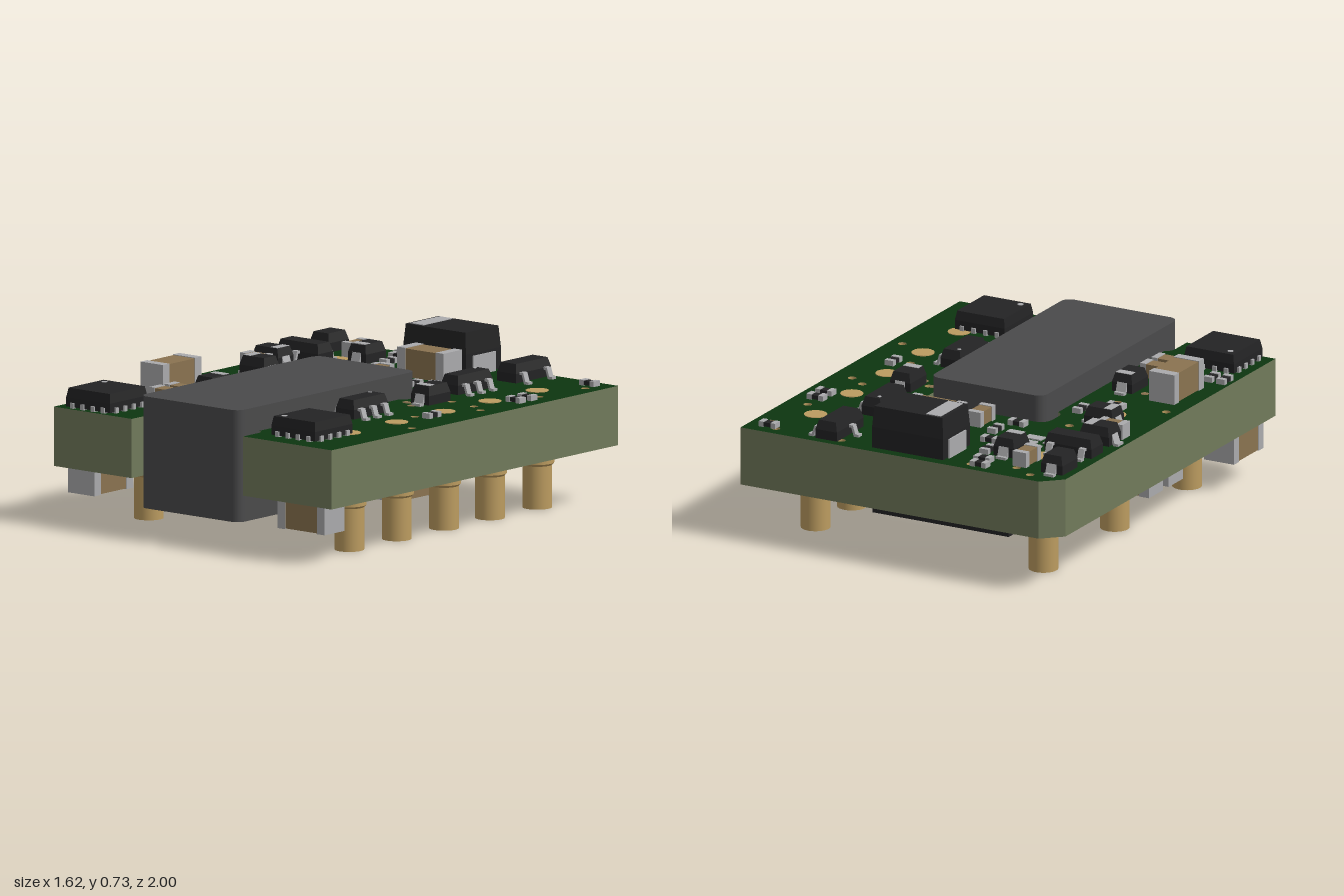
import * as THREE from 'three';

const mat = (name, color, side = THREE.FrontSide) => {
  const m = new THREE.MeshStandardMaterial({ color, side });
  m.name = name;
  return m;
};

export function createModel() {
  const M = {
    green: mat('solder mask green', 0x0d3510),
    olive: mat('laminate olive', 0x717a5b),
    grey: mat('core grey', 0x4a4a4b),
    black: mat('package black', 0x232324),
    metal: mat('terminal silver', 0xababad),
    brown: mat('ceramic brown', 0x8a7350),
    brass: mat('pin brass', 0xbc9c60, THREE.DoubleSide),
  };
  const root = new THREE.Group();
  const TOP = 0.53, BOT = 0.26;

  const group = (name) => {
    const g = new THREE.Group();
    g.name = name;
    root.add(g);
    return g;
  };
  const add = (parent, name, geo, m) => {
    const mesh = new THREE.Mesh(geo, m);
    mesh.name = name;
    parent.add(mesh);
    return mesh;
  };
  // box given by its limits
  const box = (parent, name, m, x0, x1, y0, y1, z0, z1) =>
    add(parent, name, new THREE.BoxGeometry(x1 - x0, y1 - y0, z1 - z0)
      .translate((x0 + x1) / 2, (y0 + y1) / 2, (z0 + z1) / 2), m);
  const disc = (parent, name, m, x, y, z, r) =>
    add(parent, name, new THREE.CylinderGeometry(r, r, 0.004, 16).translate(x, y, z), m);
  // moulded body: straight lower half, upper half drawn inwards
  const moulded = (parent, x0, x1, z0, z1, h = 0.085, inset = 0.012) => {
    const w = x1 - x0, d = z1 - z0;
    const geo = new THREE.BoxGeometry(w, h, d, 1, 2, 1).toNonIndexed();
    const p = geo.attributes.position;
    for (let i = 0; i < p.count; i++) {
      if (p.getY(i) > h * 0.4) {
        p.setX(i, p.getX(i) * (1 - 2 * inset / w));
        p.setZ(i, p.getZ(i) * (1 - 2 * inset / d));
      }
    }
    geo.computeVertexNormals();
    geo.translate((x0 + x1) / 2, TOP + 0.005 + h / 2, (z0 + z1) / 2);
    return add(parent, 'body', geo, M.black);
  };

  // board with slot, corner cut and via holes
  const pts = (s, list) => list.forEach(([x, z]) => s.lineTo(x, -z));
  const s = new THREE.Shape();
  s.moveTo(-0.81, -1);
  pts(s, [[-0.355, 1], [-0.355, 0.9]]);
  s.quadraticCurveTo(-0.355, -0.86, -0.325, -0.85);
  pts(s, [[-0.325, -0.12]]);
  s.quadraticCurveTo(-0.355, 0.13, -0.355, 0.17);
  pts(s, [[-0.355, -0.22]]);
  s.quadraticCurveTo(-0.355, 0.285, -0.29, 0.285);
  pts(s, [[0.23, -0.285]]);
  s.quadraticCurveTo(0.295, 0.285, 0.295, 0.22);
  pts(s, [[0.295, -0.17]]);
  s.quadraticCurveTo(0.295, 0.13, 0.265, 0.12);
  pts(s, [[0.265, 0.85]]);
  s.quadraticCurveTo(0.295, -0.86, 0.295, -0.9);
  pts(s, [[0.295, 1], [0.81, 1], [0.81, -1], [-0.72, -1], [-0.81, -0.915]]);
  const vias = [[-0.64, -0.935], [-0.335, -0.935], [-0.54, -0.88], [0.33, -0.935], [0.665, -0.935],
    [0.735, -0.86], [-0.555, -0.475], [0.705, -0.575], [-0.55, -0.25], [-0.46, -0.257], [0.35, -0.25],
    [0.48, -0.235], [0.63, -0.21], [0.71, -0.16], [0.355, -0.09], [-0.745, 0.12], [-0.49, 0.13],
    [0.583, 0.146], [0.747, 0.363], [-0.455, 0.713]];
  for (const [x, z] of vias) s.holes.push(new THREE.Path().absarc(x, -z, 0.02, 0, Math.PI * 2, true));
  const board = new THREE.ExtrudeGeometry(s, { depth: TOP - BOT, bevelEnabled: false, curveSegments: 8 });
  add(root, 'circuitBoard', board.rotateX(-Math.PI / 2).translate(0, BOT, 0), [M.green, M.olive]);
  const viaGroup = group('viaLinings');
  for (const [x, z] of vias) {
    add(viaGroup, 'viaLining', new THREE.CylinderGeometry(0.019, 0.019, TOP - BOT, 12, 1, true)
      .translate(x, (TOP + BOT) / 2, z), M.brass);
  }
  for (const [x, z] of [[-0.54, 0.29], [-0.54, 0.38], [0.335, -0.09], [0.405, -0.04]])
    disc(viaGroup, 'testPad', M.brown, x, TOP, z, 0.018);
  for (const [x, z] of [[-0.28, -0.70], [-0.285, -0.55]]) disc(viaGroup, 'testPad', M.black, x, TOP, z, 0.018);

  // transformer core with rounded upright edges
  const c = new THREE.Shape(), r = 0.045;
  const [cx0, cx1, cz0, cz1] = [-0.32, 0.26, -0.99, 0.25];
  c.absarc(cx1 - r, cz1 - r, r, 0, Math.PI / 2);
  c.absarc(cx0 + r, cz1 - r, r, Math.PI / 2, Math.PI);
  c.absarc(cx0 + r, cz0 + r, r, Math.PI, Math.PI * 1.5);
  c.absarc(cx1 - r, cz0 + r, r, Math.PI * 1.5, Math.PI * 2);
  add(root, 'transformerCore', new THREE.ExtrudeGeometry(c, { depth: 0.51, bevelEnabled: false, curveSegments: 6 })
    .rotateX(-Math.PI / 2).translate(0, 0.13, 0), M.grey);

  // collared pins
  const profile = [[0, 0], [0.067, 0], [0.067, 0.195], [0.077, 0.205], [0.077, 0.245], [0.068, 0.26],
    [0.052, 0.262], [0.052, 0.533], [0, 0.533]].map(([x, y]) => new THREE.Vector2(x, y));
  // each profile span is its own ring so its edges stay sharp
  const pin = (x, z) => {
    const g = group('pin');
    for (let i = 1; i < profile.length; i++)
      add(g, 'pinSection', new THREE.LatheGeometry([profile[i - 1], profile[i]], 24), M.brass);
    g.position.set(x, 0, z);
  };
  [-0.68, -0.03, 0.63].forEach((z) => pin(-0.565, z));
  [-0.68, -0.35, -0.03, 0.3, 0.63].forEach((z) => pin(0.605, z));

  // two-terminal chip: middle block and an end cap at either end of its axis
  const chip = (name, x0, x1, z0, z1, y0, y1, axis, t, m) => {
    const g = group(name), e = 0.003;
    if (axis === 'x') {
      box(g, 'middle', m, x0 + t, x1 - t, y0 + e, y1 - e, z0 + e, z1 - e);
      box(g, 'endCap', M.metal, x0, x0 + t, y0, y1, z0, z1);
      box(g, 'endCap', M.metal, x1 - t, x1, y0, y1, z0, z1);
    } else {
      box(g, 'middle', m, x0 + e, x1 - e, y0 + e, y1 - e, z0 + t, z1 - t);
      box(g, 'endCap', M.metal, x0, x1, y0, y1, z0, z0 + t);
      box(g, 'endCap', M.metal, x0, x1, y0, y1, z1 - t, z1);
    }
  };
  // capacitors above the board, then below it
  [[-0.095, 0.175, -0.67, -0.54, TOP, 0.665, 'x', 0.045],
    [-0.73, -0.6, 0.22, 0.49, TOP, 0.67, 'z', 0.045],
    [-0.545, -0.41, 0.475, 0.545, TOP, 0.6, 'x', 0.03],
    [-0.55, -0.415, 0.57, 0.645, TOP, 0.6, 'x', 0.03],
    [-0.58, -0.51, -0.865, -0.73, TOP, 0.6, 'z', 0.03],
    [-0.13, -0.06, -0.48, -0.345, TOP, 0.6, 'z', 0.03],
    [-0.765, -0.63, -0.315, -0.245, TOP, 0.6, 'x', 0.03],
    [0.33, 0.465, -0.15, 0.12, 0.12, BOT, 'z', 0.05],
    [0.47, 0.745, 0.83, 0.97, 0.13, BOT, 'x', 0.045],
    [-0.795, -0.64, 0.65, 0.92, 0.13, BOT, 'z', 0.045],
    [-0.69, -0.42, 0.06, 0.19, 0.13, BOT, 'x', 0.05],
    [-0.69, -0.42, 0.24, 0.37, 0.13, BOT, 'x', 0.05],
  ].forEach((a) => chip('capacitor', ...a, M.brown));
  // small resistors
  const resistor = (x, z, axis) => {
    const [w, d] = axis === 'x' ? [0.042, 0.022] : [0.022, 0.042];
    chip('resistor', x - w, x + w, z - d, z + d, TOP, 0.555, axis, 0.024, M.black);
  };
  [[-0.385, -0.94], [-0.365, -0.87], [0.705, -0.925], [-0.26, -0.623], [-0.255, -0.363], [-0.525, 0.055],
    [0.705, -0.49], [0.705, -0.41], [0.4, 0.5]].forEach(([x, z]) => resistor(x, z, 'x'));
  [[-0.32, -0.75], [-0.21, -0.485], [0.105, -0.415], [0.18, -0.435], [-0.405, -0.055], [0.65, 0.11],
    [-0.77, 0.61], [-0.705, 0.61]].forEach(([x, z]) => resistor(x, z, 'z'));
  // bare pad cluster
  const pads = group('padCluster');
  for (const z of [-0.555, -0.485]) box(pads, 'pad', M.metal, -0.455, -0.37, TOP, 0.536, z - 0.025, z + 0.025);
  for (const x of [-0.49, -0.335]) for (const z of [-0.585, -0.525, -0.465])
    box(pads, 'smallPad', M.metal, x - 0.011, x + 0.011, TOP, 0.536, z - 0.011, z + 0.011);

  // gull-wing lead starting at a body side; angle 0 points to +x
  const wing = new THREE.Shape([[-0.01, 0.04], [0.012, 0.04], [0.025, 0], [0.05, 0], [0.05, 0.012],
    [0.033, 0.012], [0.02, 0.052], [-0.01, 0.052]].map(([x, y]) => new THREE.Vector2(x, y)));
  const lead = (parent, x, z, angle, w = 0.03) => {
    const geo = new THREE.ExtrudeGeometry(wing, { depth: w, bevelEnabled: false });
    const m = add(parent, 'lead', geo.translate(0, 0, -w / 2), M.metal);
    m.position.set(x, TOP, z);
    m.rotation.y = angle;
  };
  // six-lead chips
  for (const [x0, x1, z0, z1] of [[0.32, 0.42, -0.59, -0.35], [0.33, 0.435, 0.155, 0.395]]) {
    const g = group('sixLeadChip'), zc = (z0 + z1) / 2;
    moulded(g, x0, x1, z0, z1);
    for (const dz of [-0.08, 0, 0.08]) {
      lead(g, x1, zc + dz, 0);
      lead(g, x0, zc + dz, Math.PI);
    }
    disc(g, 'indexDot', M.metal, x0 + 0.027, TOP + 0.09, z0 + 0.035, 0.009);
  }
  // three-lead transistors
  const t1 = group('rearTransistor');
  moulded(t1, 0.33, 0.44, -0.975, -0.73);
  lead(t1, 0.33, -0.85, Math.PI);
  [-0.935, -0.77].forEach((z) => lead(t1, 0.44, z, 0));
  const t2 = group('sideTransistor');
  moulded(t2, -0.78, -0.54, -0.625, -0.52);
  [-0.74, -0.575].forEach((x) => lead(t2, x, -0.625, Math.PI / 2));
  lead(t2, -0.66, -0.52, -Math.PI / 2);

  // square controllers with short side contacts
  for (const [x, z, dx, dz] of [[0.508, 0.775, -0.085, 0.09], [-0.628, 0.848, -0.085, -0.085]]) {
    const g = group('squareController');
    moulded(g, x - 0.128, x + 0.128, z - 0.13, z + 0.13, 0.085, 0.008);
    for (let i = 0; i < 4; i++) {
      const o = -0.09 + i * 0.06;
      box(g, 'contacts', M.metal, x - 0.138, x + 0.138, TOP, 0.555, z + o - 0.01, z + o + 0.01);
      box(g, 'contacts', M.metal, x + o - 0.01, x + o + 0.01, TOP, 0.555, z - 0.138, z + 0.138);
    }
    disc(g, 'indexDot', M.metal, x + dx, TOP + 0.09, z + dz, 0.014);
  }

  // small diodes: lead at each end, pale band near one end (side = -1 or 1)
  for (const [x0, x1, z0, z1, axis, side] of [
    [-0.78, -0.67, -0.89, -0.75, 'z', 0], [-0.475, -0.37, -0.79, -0.65, 'z', 1],
    [-0.765, -0.615, -0.44, -0.33, 'x', 1], [-0.66, -0.515, -0.22, -0.115, 'x', -1],
    [0.375, 0.48, -0.225, -0.075, 'z', 1], [-0.5, -0.395, 0.245, 0.39, 'z', -1]]) {
    const g = group('diode'), x = (x0 + x1) / 2, z = (z0 + z1) / 2, y = TOP + 0.09;
    moulded(g, x0, x1, z0, z1);
    if (axis === 'x') {
      lead(g, x1 - 0.02, z, 0, 0.05);
      lead(g, x0 + 0.02, z, Math.PI, 0.05);
      if (side) box(g, 'band', M.metal, x + side * 0.04 - 0.02, x + side * 0.04 + 0.02, y - 0.002, y + 0.002, z0 + 0.013, z1 - 0.013);
    } else {
      lead(g, x, z1 - 0.02, -Math.PI / 2, 0.05);
      lead(g, x, z0 + 0.02, Math.PI / 2, 0.05);
      if (side) box(g, 'band', M.metal, x0 + 0.013, x1 - 0.013, y - 0.002, y + 0.002, z + side * 0.04 - 0.02, z + side * 0.04 + 0.02);
    }
  }

  // large rectifier with wrap-around terminals and polarity band
  const d = group('powerRectifier');
  moulded(d, -0.21, 0.155, -0.965, -0.72, 0.195, 0.008);
  box(d, 'polarityBand', M.metal, -0.185, -0.11, 0.728, 0.733, -0.945, -0.74);
  for (const x of [-0.217, 0.155]) box(d, 'terminal', M.metal, x, x + 0.008, TOP, 0.62, -0.92, -0.765);

  // low inductor under the board
  box(root, 'undersideInductor', M.black, -0.42, 0.28, 0.14, 0.24, -0.74, -0.36);
  box(root, 'inductorSeat', M.black, -0.36, 0.22, 0.24, BOT, -0.7, -0.4);
  return root;
}
